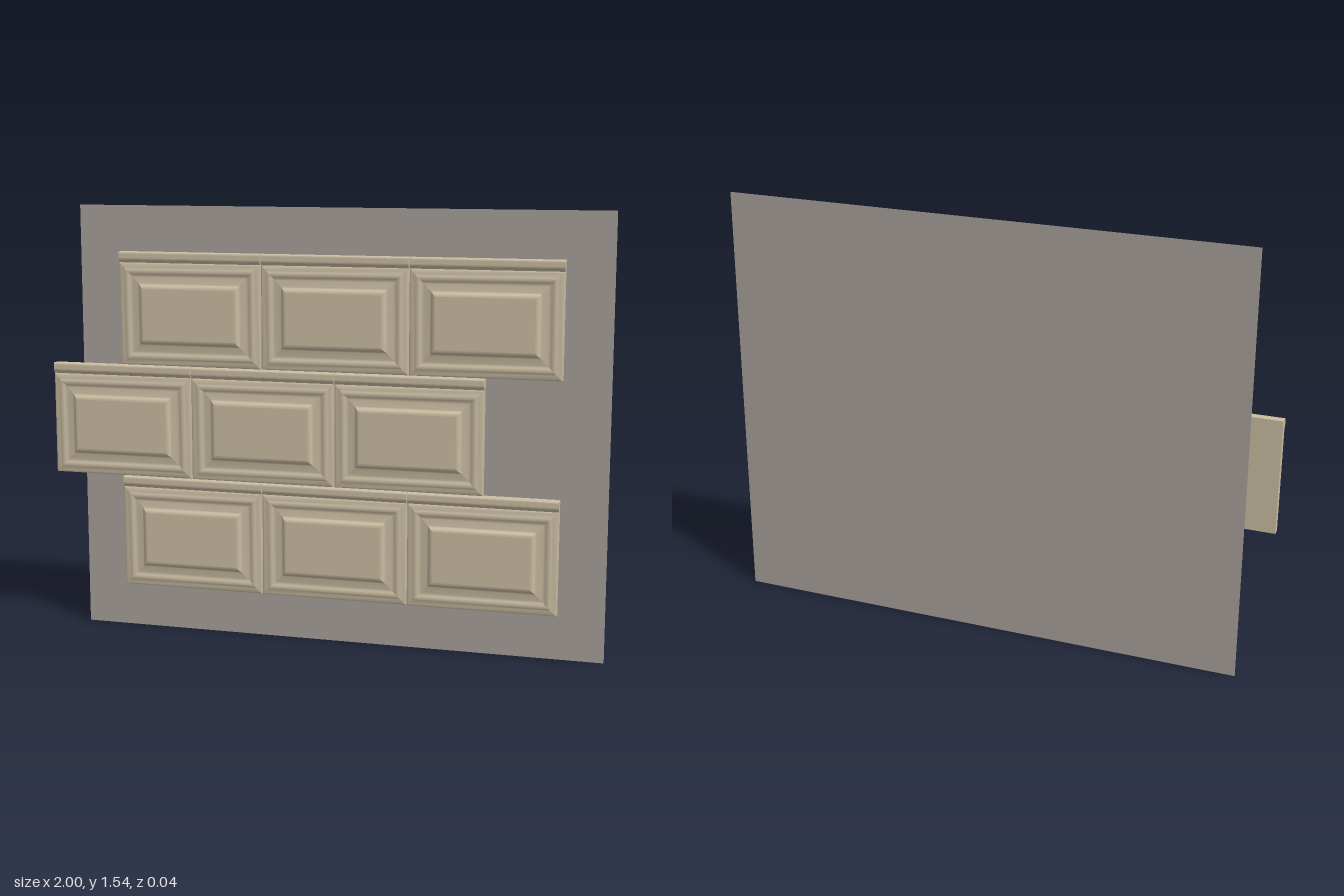
import * as THREE from 'three';
import { mergeGeometries } from 'three/addons/utils/BufferGeometryUtils.js';

const W = 0.523, H = 0.402;            // tile size
const PITCH_X = 0.5265, PITCH_Y = 0.4055;
const BACK = -0.02, FACE = 0.006, LIP = 0.038;

// Moulding profile from the tile edge inward: [inset, z]
const PROFILE = [
  [0, FACE], [0.006, 0.0095], [0.018, 0.0095], [0.023, 0.0125], [0.03, 0.0135],
  [0.037, 0.0125], [0.043, 0.009], [0.05, 0.0085], [0.072, 0.0115],
  [0.076, 0.013], [0.081, 0.0185], [0.086, 0.0212], [0.092, 0.022],
];

// Corners of one ring, anticlockwise from bottom left; the top leaves room for the lip
function ring([d, z]) {
  const x = W / 2 - d, b = -H / 2 + d, t = H / 2 - LIP - d;
  return [[-x, b, z], [x, b, z], [x, t, z], [-x, t, z]];
}

function indexed(points, index) {
  const g = new THREE.BufferGeometry();
  g.setAttribute('position', new THREE.Float32BufferAttribute(points.flat(), 3));
  g.setIndex(index);
  g.computeVertexNormals();
  return g;
}

// Mitred moulding: one smooth strip for each side, plus the flat centre
function mouldedFace() {
  const rings = PROFILE.map(ring), parts = [];
  for (let s = 0; s < 4; s++) {
    const points = [], index = [];
    rings.forEach((r, j) => {
      points.push(r[s], r[(s + 1) % 4]);
      if (j) {
        const o = 2 * (j - 1);
        index.push(o, o + 1, o + 3, o, o + 3, o + 2);
      }
    });
    parts.push(indexed(points, index));
  }
  parts.push(indexed(rings[rings.length - 1], [0, 1, 2, 0, 2, 3]));
  return mergeGeometries(parts);
}

// Rounded lip running along the top edge
function lipGeometry() {
  const t = H / 2, b = t - LIP;
  const s = new THREE.Shape();
  s.moveTo(-BACK, b);
  s.lineTo(-BACK, t);
  s.lineTo(-0.008, t);
  s.quadraticCurveTo(-0.014, t, -0.014, t - 0.008);
  s.lineTo(-0.014, t - 0.022);
  s.quadraticCurveTo(-0.013, b + 0.008, -0.009, b + 0.006);
  s.lineTo(-FACE, b);
  s.closePath();
  const g = new THREE.ExtrudeGeometry(s, { depth: W, bevelEnabled: false, curveSegments: 5 });
  return g.translate(0, 0, -W / 2).rotateY(Math.PI / 2);
}

export function createModel() {
  const model = new THREE.Group();
  model.name = 'tiledWall';

  const tileMat = new THREE.MeshStandardMaterial({ color: 0xcabda2 });
  tileMat.name = 'cream glaze';
  const wallMat = new THREE.MeshStandardMaterial({ color: 0xa7a19b, side: THREE.DoubleSide });
  wallMat.name = 'grey wall';

  // Thin wall sheet behind the tiles
  const wall = new THREE.Mesh(new THREE.PlaneGeometry(1.896, 1.536), wallMat);
  wall.name = 'wall';
  wall.position.set(0.052, 0.768, -0.022);
  model.add(wall);

  const slab = new THREE.BoxGeometry(W, H - LIP, FACE - BACK)
    .translate(0, -LIP / 2, (FACE + BACK) / 2);
  const pieces = [['slab', slab], ['moulding', mouldedFace()], ['topLip', lipGeometry()]];

  // Three staggered courses of three tiles
  for (let row = 0; row < 3; row++) {
    const left = row === 1 ? -1 : -0.738;
    for (let col = 0; col < 3; col++) {
      const tile = new THREE.Group();
      tile.name = `tileRow${row + 1}Column${col + 1}`;
      for (const [name, geometry] of pieces) {
        const mesh = new THREE.Mesh(geometry, tileMat);
        mesh.name = name;
        tile.add(mesh);
      }
      tile.position.set(left + W / 2 + col * PITCH_X, 0.161 + H / 2 + row * PITCH_Y, 0);
      model.add(tile);
    }
  }
  return model;
}
